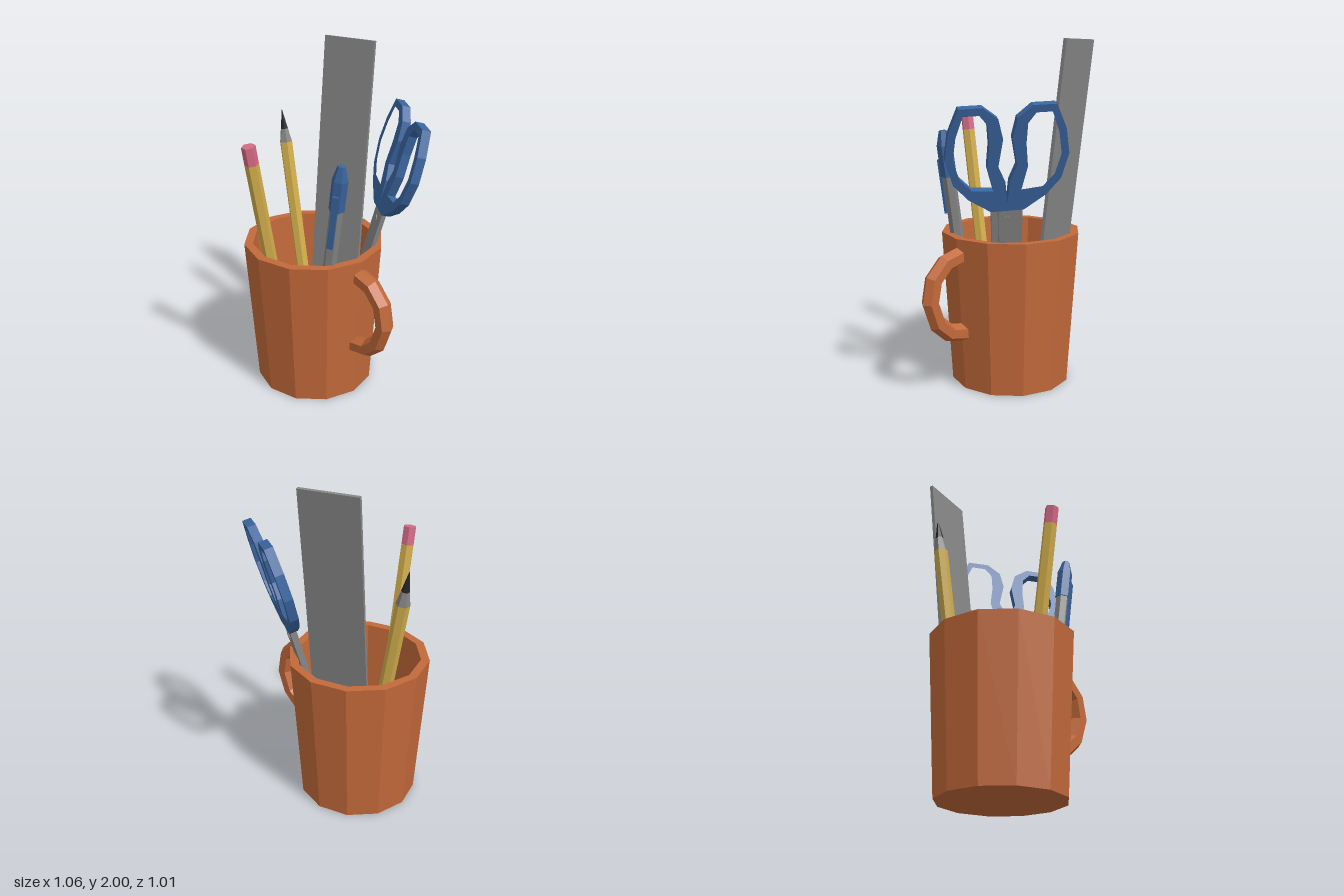
import * as THREE from 'three';

const paint = (name, color) => {
  const m = new THREE.MeshStandardMaterial({ color });
  m.name = name;
  return m;
};

// Faceted normals for the low-poly look
function flat(geometry) {
  const g = geometry.index ? geometry.toNonIndexed() : geometry;
  g.computeVertexNormals();
  return g;
}

function mesh(name, geometry, material) {
  const m = new THREE.Mesh(flat(geometry), material);
  m.name = name;
  return m;
}

// Six-sided section standing between two heights
function hex(name, r0, r1, y0, y1, material) {
  const g = new THREE.CylinderGeometry(r1, r0, y1 - y0, 6);
  g.translate(0, (y0 + y1) / 2, 0);
  return mesh(name, g, material);
}

// Hexagonal bar swept along a path in the xy plane, ridge facing outward
function sweepHex(path, radius) {
  const pos = [], index = [];
  path.forEach(([x, y], i) => {
    const a = path[Math.max(i - 1, 0)], b = path[Math.min(i + 1, path.length - 1)];
    const t = new THREE.Vector2(b[0] - a[0], b[1] - a[1]).normalize();
    for (let j = 0; j < 6; j++) {
      const c = Math.cos(j * Math.PI / 3) * radius, s = Math.sin(j * Math.PI / 3) * radius;
      pos.push(x - t.y * c, y + t.x * c, s);
    }
  });
  for (let i = 0; i < path.length - 1; i++) {
    for (let j = 0; j < 6; j++) {
      const a = i * 6 + j, b = i * 6 + (j + 1) % 6;
      index.push(a, b, a + 6, b, b + 6, a + 6);
    }
  }
  const g = new THREE.BufferGeometry();
  g.setAttribute('position', new THREE.Float32BufferAttribute(pos, 3));
  g.setIndex(index);
  return g;
}

// Extruded outline, centred on its thickness, optionally mirrored in x
function plate(outline, hole, depth, side) {
  const pts = list => list.map(([x, y]) => new THREE.Vector2(x * side, y));
  const shape = new THREE.Shape(pts(outline));
  if (hole) shape.holes.push(new THREE.Path(pts(hole)));
  const g = new THREE.ExtrudeGeometry(shape, { depth, bevelEnabled: false });
  return g.translate(0, 0, -depth / 2);
}

export function createModel() {
  const clay = paint('terracotta', 0xc2693a);
  const grey = paint('grey', 0x868686);
  const blue = paint('blue', 0x3a659f);
  const yellow = paint('yellow', 0xd2ae4c);
  const pink = paint('pink', 0xd66c86);
  const black = paint('black', 0x262626);

  const model = new THREE.Group();
  model.name = 'deskCup';
  const group = name => {
    const g = new THREE.Group();
    g.name = name;
    model.add(g);
    return g;
  };

  // Mug: twelve-sided hollow body and a loop handle
  const mug = group('mug');
  mug.position.set(-0.12, 0, 0.027);
  const profile = [[0, 0], [0.354, 0], [0.41, 0.905], [0.36, 0.905], [0.307, 0.05], [0, 0.05]];
  mug.add(mesh('mugBody',
    new THREE.LatheGeometry(profile.map(p => new THREE.Vector2(...p)), 12), clay));
  const handlePath = [[0.37, 0.81], [0.49, 0.78], [0.572, 0.695], [0.596, 0.57],
    [0.55, 0.44], [0.47, 0.37], [0.345, 0.345]];
  mug.add(mesh('mugHandle', sweepHex(handlePath, 0.052), clay));

  // Pencils: eraser, body, sharpened cone and lead
  function pencil(name) {
    const g = group(name);
    g.add(
      hex('eraser', 0.039, 0.039, 0, 0.105, pink),
      hex('pencilBody', 0.039, 0.039, 0.105, 1.35, yellow),
      hex('sharpenedCone', 0.039, 0.023, 1.35, 1.43, grey),
      hex('lead', 0.023, 0.001, 1.43, 1.545, black));
    return g;
  }
  const tipUp = pencil('pencilTipUp');
  tipUp.position.set(-0.265, 0.052, -0.08);
  tipUp.rotation.z = 0.17;
  const eraserUp = pencil('pencilEraserUp');
  eraserUp.position.set(-0.137, 1.568, 0.455);
  eraserUp.rotation.set(Math.PI + 0.164, Math.PI / 2, 0);

  // Pen with cap and clip
  const pen = group('pen');
  pen.position.set(0.045, 0.055, 0.165);
  pen.rotation.z = -0.155;
  const clip = mesh('penClip', new THREE.BoxGeometry(0.034, 0.32, 0.014), blue);
  clip.rotation.y = Math.PI / 6;
  clip.position.set(0.0225, 1.14, 0.039);
  pen.add(
    hex('penBody', 0.038, 0.038, 0, 1.21, grey),
    hex('penCap', 0.045, 0.045, 1.2, 1.38, blue),
    hex('penCapEnd', 0.045, 0.022, 1.38, 1.463, blue),
    clip);

  // Ruler leaning on the back wall
  const ruler = group('ruler');
  ruler.position.set(-0.186, 0.05, -0.158);
  ruler.rotation.set(-0.116, 0.29, 0, 'YXZ');
  ruler.add(mesh('rulerBlade',
    new THREE.BoxGeometry(0.328, 1.962, 0.02).translate(0, 0.981, 0), grey));

  // Scissors: mirrored finger loops, two offset blades and a pivot
  const scissors = group('scissors');
  scissors.position.set(-0.03, 0.05, -0.03);
  scissors.rotation.set(-0.265, -Math.PI / 6, -0.05, 'YXZ');
  const loop = [[0, 1.09], [0.09, 1.09], [0.21, 1.17], [0.29, 1.26], [0.33, 1.4], [0.31, 1.54],
    [0.255, 1.675], [0.13, 1.675], [0.05, 1.61], [0.025, 1.5], [0.05, 1.35], [0.012, 1.26],
    [0, 1.13]];
  const loopHole = [[0.075, 1.21], [0.19, 1.22], [0.255, 1.29], [0.288, 1.4], [0.272, 1.52],
    [0.233, 1.635], [0.148, 1.635], [0.105, 1.58], [0.098, 1.47], [0.108, 1.34]];
  const blade = [[-0.05, 1.12], [-0.03, 0.03], [0.02, 0], [0.07, 0.03], [0.085, 1.12]];
  for (const side of [-1, 1]) {
    const label = side > 0 ? 'left' : 'right';
    scissors.add(mesh(label + 'FingerLoop', plate(loop, loopHole, 0.05, side), blue));
    const b = mesh(label + 'Blade', plate(blade, null, 0.02, side), grey);
    b.position.z = side * 0.0102;
    scissors.add(b);
  }
  const pivot = mesh('pivot',
    new THREE.CylinderGeometry(0.025, 0.025, 0.05, 8).rotateX(Math.PI / 2), grey);
  pivot.position.set(0, 1.03, 0);
  scissors.add(pivot);

  return model;
}
